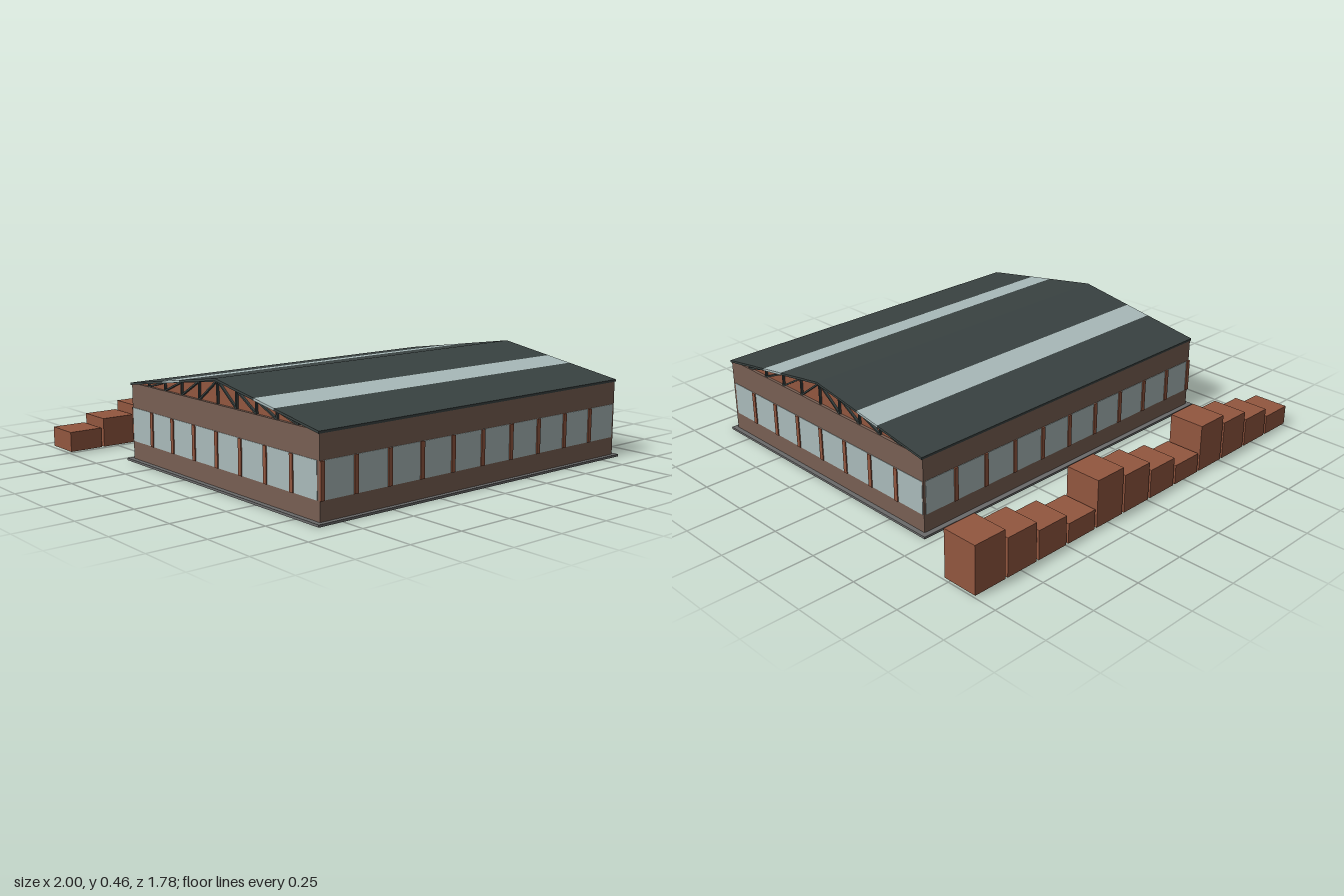
import * as THREE from 'three';

const mat = (name, color) => Object.assign(new THREE.MeshStandardMaterial({ color }), { name });

export function createModel() {
  const brown = mat('brown wall', 0x785f53);
  const brick = mat('red brick', 0x92563f);
  const glass = mat('pale glass', 0xa9baba);
  const slate = mat('dark slate', 0x394241);
  const concrete = mat('grey concrete', 0x6a6a6a);

  const model = new THREE.Group();
  const box = (name, material, x0, x1, y0, y1, z0, z1, parent = model) => {
    const m = new THREE.Mesh(new THREE.BoxGeometry(x1 - x0, y1 - y0, z1 - z0), material);
    m.position.set((x0 + x1) / 2, (y0 + y1) / 2, (z0 + z1) / 2);
    m.name = name;
    parent.add(m);
    return m;
  };

  // Main dimensions
  const W = 0.843, ZF = 0.87, ZB = -0.44, ZC = 0.215, HALF = 0.655;
  const EAVE = 0.35, RIDGE = 0.455, SILL = 0.09, HEAD = 0.24;
  const roofY = (d) => RIDGE - (RIDGE - EAVE) * d / HALF;

  // Ground slab and wall block
  box('groundSlab', concrete, -0.865, 0.865, 0, 0.01, -0.465, 0.89);
  box('walls', brown, -W, W, 0.01, EAVE, ZB, ZF);

  // Window bands on all four sides
  const out = 0.002, post = 0.01, proud = 0.007;
  for (const [z, s] of [[ZF, 1], [ZB, -1]]) {
    const a = z + s * out, b = z - s * out;
    box('windowBand', glass, -0.828, 0.832, SILL, HEAD, Math.min(a, b), Math.max(a, b));
    for (let i = 0; i < 10; i++) {
      const x = i ? -0.84 + i * 0.168 : -0.834;
      const p = z + s * proud;
      box('windowPost', brick, x - post, x + post, SILL, HEAD, Math.min(z, p), Math.max(z, p));
    }
  }
  for (const s of [-1, 1]) {
    const a = s * (W + out), b = s * (W - out), p = s * (W + proud);
    box('sideWindowBand', glass, Math.min(a, b), Math.max(a, b), SILL, HEAD, ZB + 0.006, ZF - 0.015);
    for (let i = 1; i < 8; i++) {
      const z = ZF - i * HALF / 4;
      box('sideWindowPost', brick, Math.min(s * W, p), Math.max(s * W, p), SILL, HEAD, z - post, z + post);
    }
  }

  // Brick gable prism, set back a little under the roof
  const tri = new THREE.Shape();
  tri.moveTo(-HALF, EAVE);
  tri.lineTo(HALF, EAVE);
  tri.lineTo(0, RIDGE - 0.006);
  const gableGeo = new THREE.ExtrudeGeometry(tri, { depth: 1.66, bevelEnabled: false });
  gableGeo.rotateY(-Math.PI / 2);
  gableGeo.translate(0.83, 0, ZC);
  const gable = new THREE.Mesh(gableGeo, brick);
  gable.name = 'gables';
  model.add(gable);

  // Roof strips: slate, skylight, slate on each slope
  const strips = [[0, 0.262, slate, 'roofPanel'], [0.262, 0.39, glass, 'skylight'], [0.39, HALF + 0.002, slate, 'roofPanel']];
  for (const s of [-1, 1]) {
    for (const [d0, d1, material, name] of strips) {
      const shape = new THREE.Shape();
      shape.moveTo(s * d0, roofY(d0) - 0.009);
      shape.lineTo(s * d1, roofY(d1) - 0.009);
      shape.lineTo(s * d1, roofY(d1) + 0.001);
      shape.lineTo(s * d0, roofY(d0) + 0.001);
      const geo = new THREE.ExtrudeGeometry(shape, { depth: 1.698, bevelEnabled: false });
      geo.rotateY(-Math.PI / 2);
      geo.translate(0.849, 0, ZC);
      const strip = new THREE.Mesh(geo, material);
      strip.name = name;
      model.add(strip);
    }
  }

  // Trusses on both gable ends
  const bar = (x, za, ya, zb, yb, parent) => {
    const len = Math.hypot(zb - za, yb - ya);
    const m = new THREE.Mesh(new THREE.BoxGeometry(0.01, 0.007, len), slate);
    m.position.set(x, (ya + yb) / 2, (za + zb) / 2);
    m.rotation.x = -Math.atan2(yb - ya, zb - za);
    m.name = 'trussBar';
    parent.add(m);
  };
  for (const x of [-0.835, 0.835]) {
    const truss = new THREE.Group();
    truss.name = 'truss';
    const step = HALF / 5;
    bar(x, ZC, EAVE, ZC, RIDGE - 0.006, truss);
    for (const s of [-1, 1]) {
      bar(x, ZC, RIDGE - 0.01, ZC + s * HALF, EAVE - 0.004, truss);
      for (let i = 0; i < 4; i++) {
        const zi = ZC + s * i * step, zo = ZC + s * (i + 1) * step;
        bar(x, zi, roofY(i * step) - 0.008, zo, EAVE, truss);
        bar(x, zo, roofY((i + 1) * step) - 0.006, zo, EAVE, truss);
      }
    }
    model.add(truss);
  }

  // Row of brick blocks behind, stepping up in groups of four
  const pitch = 2 / 11.93;
  for (let i = 0; i < 12; i++) {
    const x = -1 + i * pitch;
    box('brickBlock', brick, x, x + 0.155, 0.01, 0.1 + (i % 4) * 0.0417, -0.895, -0.73);
  }
  return model;
}
